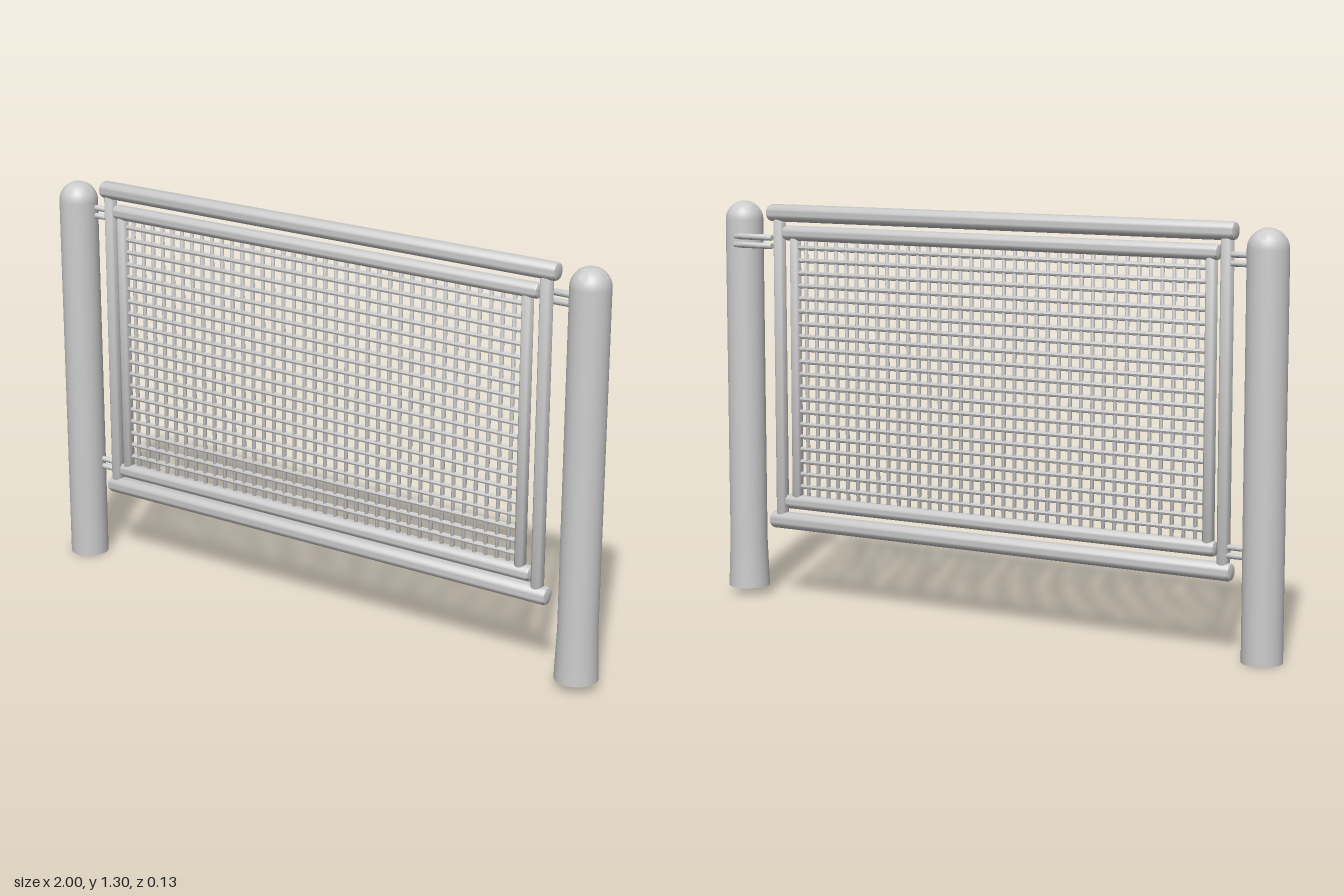
import * as THREE from 'three';
import { toCreasedNormals } from 'three/addons/utils/BufferGeometryUtils.js';

const material = new THREE.MeshStandardMaterial({ color: 0xcccccc });

function lathe(points, segments) {
  const profile = points.map(([r, y]) => new THREE.Vector2(r, y));
  return toCreasedNormals(new THREE.LatheGeometry(profile, segments), 0.7);
}

function addMesh(parent, name, geometry, x, y, z) {
  const mesh = new THREE.Mesh(geometry, material);
  mesh.name = name;
  mesh.position.set(x, y, z);
  parent.add(mesh);
  return mesh;
}

// Round bar with softened end edges, standing along y
function barGeometry(r, length, segments = 24) {
  const h = length / 2, b = r * 0.4;
  return lathe([
    [0, -h], [r - b, -h], [r - b * 0.3, -h + b * 0.3], [r, -h + b],
    [r, h - b], [r - b * 0.3, h - b * 0.3], [r - b, h], [0, h],
  ], segments);
}

function addHorizontal(parent, name, x0, x1, y, z, r, segments) {
  const bar = addMesh(parent, name, barGeometry(r, x1 - x0, segments), (x0 + x1) / 2, y, z);
  bar.rotation.z = -Math.PI / 2;
}

function addVertical(parent, name, x, y0, y1, z, r, segments) {
  addMesh(parent, name, barGeometry(r, y1 - y0, segments), x, (y0 + y1) / 2, z);
}

// Domed post; the foot may be wider than the shaft
function addPost(parent, name, x, bottom, top, r, footRadius) {
  const points = [[0, bottom], [footRadius, bottom], [r, bottom + 0.16]];
  for (let i = 0; i <= 10; i++) {
    const a = (i / 10) * Math.PI / 2;
    points.push([i === 10 ? 0 : r * Math.cos(a), top - r + r * Math.sin(a)]);
  }
  addMesh(parent, name, lathe(points, 32), x, 0, 0);
}

export function createModel() {
  const model = new THREE.Group();
  model.name = 'fencePanel';

  // Posts
  addPost(model, 'rightPost', -0.937, 0, 1.275, 0.062, 0.062);
  addPost(model, 'leftPost', 0.93, 0.027, 1.297, 0.061, 0.067);

  // Outer frame
  const outer = new THREE.Group();
  outer.name = 'outerFrame';
  model.add(outer);
  for (const y of [0.26, 1.262]) addHorizontal(outer, 'outerRail', -0.84, 0.824, y, -0.007, 0.028);
  for (const x of [-0.811, 0.785]) addVertical(outer, 'outerStile', x, 0.275, 1.245, -0.007, 0.02);

  // Inner frame
  const inner = new THREE.Group();
  inner.name = 'innerFrame';
  model.add(inner);
  for (const y of [0.323, 1.198]) addHorizontal(inner, 'innerRail', -0.783, 0.769, y, 0.001, 0.024);
  for (const x of [-0.757, 0.729]) addVertical(inner, 'innerStile', x, 0.335, 1.19, 0.001, 0.018);

  // Wire mesh
  const mesh = new THREE.Group();
  mesh.name = 'wireMesh';
  model.add(mesh);
  const columns = 37, rows = 20;
  for (let i = 0; i < columns; i++) {
    const x = -0.714 + (1.4 * i) / (columns - 1);
    addVertical(mesh, 'verticalWire', x, 0.345, 1.18, 0, 0.0065, 8);
  }
  for (let i = 0; i < rows; i++) {
    const y = 0.376 + (0.776 * i) / (rows - 1);
    addHorizontal(mesh, 'horizontalWire', -0.745, 0.717, y, 0, 0.008, 8);
  }

  // Paired hinge rods on one side, latch rods behind the other post
  for (const y of [0.31, 0.335, 1.168, 1.194]) {
    addHorizontal(model, 'hingeRod', -0.94, -0.81, y, -0.011, 0.009, 16);
  }
  for (const y of [1.158, 1.185]) {
    addHorizontal(model, 'latchRod', 0.78, 0.93, y, -0.054, 0.01, 16);
  }

  return model;
}
